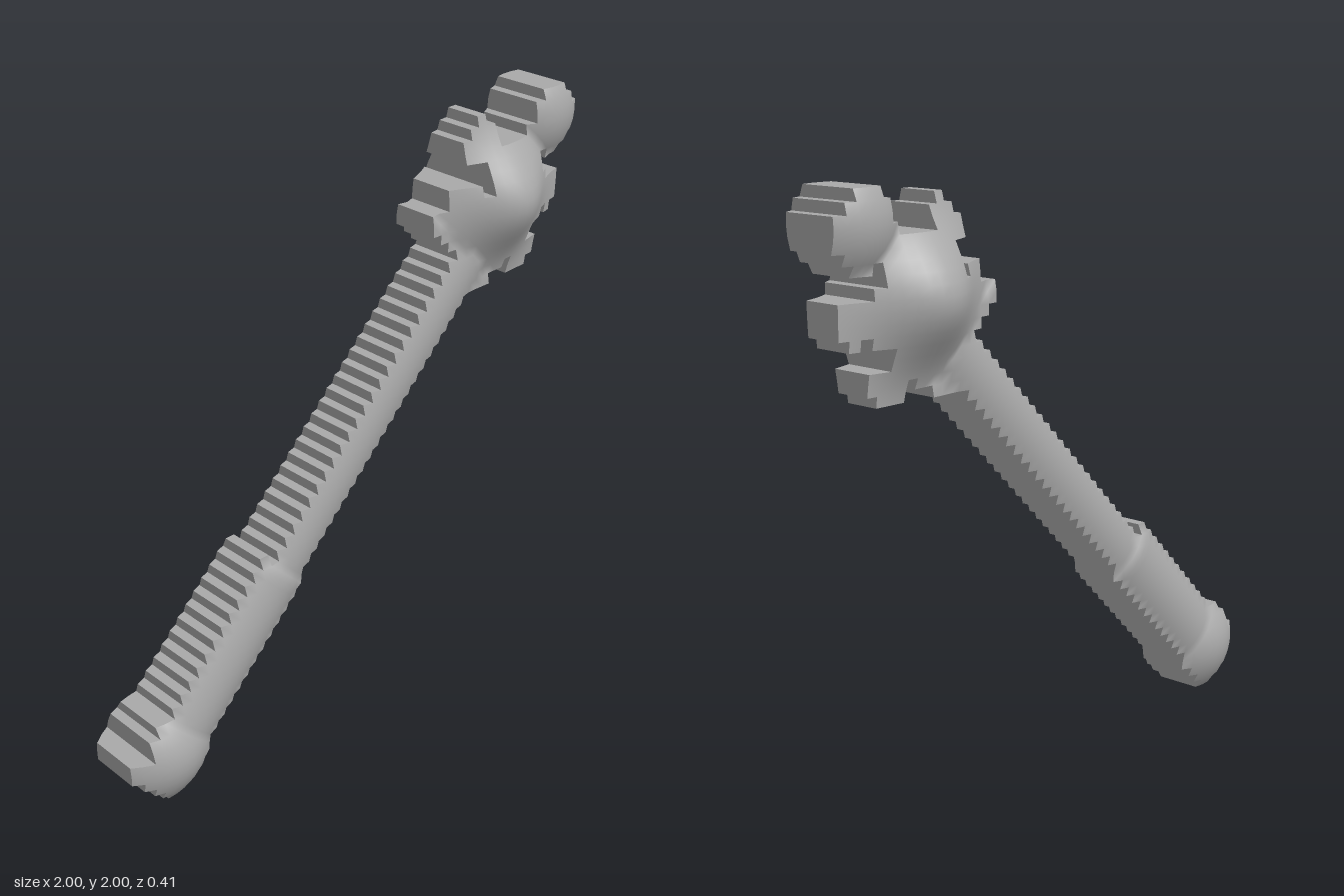
import * as THREE from 'three';

const N = 57, C = 2 / N; // cells per side and cell size

// stepped outlines: row -> [start, end) column pairs
const headRows = [
  [52, 55], [44, 45, 51, 56], [43, 46, 51, 57], [42, 46, 50, 57], [42, 57],
  [44, 56], [44, 52, 53, 55], [40, 43, 44, 52], [40, 53], [38, 56],
  [38, 56], [39, 56], [40, 53, 54, 55], [41, 51], [41, 51],
  [40, 53], [39, 48, 49, 53], [38, 46, 49, 52],
];
const pommelRows = [
  [3, 7], [2, 8], [2, 9], [0, 9], [0, 9], [1, 9], [2, 8], [3, 7], [4, 6],
];
const inRuns = (runs, i) => {
  for (let n = 0; runs && n < runs.length; n += 2) if (i >= runs[n] && i < runs[n + 1]) return true;
  return false;
};

// which part owns a cell
function partAt(i, r) {
  if (i < 0 || r < 0 || i >= N || r >= N) return null;
  if (inRuns(headRows[r], i)) return i >= 50 && r < 7 ? 'topKnob' : 'maceHead';
  if (inRuns(pommelRows[r - 48], i)) return 'pommel';
  const k = 56 - r - i, along = i - r;
  if (along < -46 || along > 30) return null;
  if (along <= -20 && Math.abs(k) <= 4) return 'grip';
  return k >= -3 && k <= 2 ? 'shaft' : null;
}

// half thickness at a point: rounded lobes blended by maximum
function halfDepth(x, y) {
  const off = y - x - 1, sum = x + y;
  const lobe = (cx, cy, top, drop, rad) => top - drop * (Math.hypot(x - cx, y - cy) / rad) ** 2;
  const bar = (top, drop, half, mid, a, b) => {
    const t = Math.min(1, Math.abs(off - mid) / half);
    const past = Math.max(0, a - sum, sum - b);
    return top - drop * t * t - past * 0.35;
  };
  const d = Math.hypot(x - 0.65, y - 1.67);
  return Math.max(
    0.05 + 0.155 * Math.exp(-((d / 0.2) ** 2)),
    lobe(0.88, 1.9, 0.13, 0.035, 0.12),
    lobe(-0.84, 0.165, 0.152, 0.065, 0.165),
    bar(0.106, 0.022, 0.13, -C / 2, -0.6, 2.0),
    bar(0.124, 0.036, 0.17, 0, -0.58, 0.27),
  );
}

const px = (i) => -1 + i * C, py = (r) => 2 - r * C;
const depth = (i, r) => halfDepth(px(i), py(r));

function makeGeometry(points, index) {
  const g = new THREE.BufferGeometry();
  g.setAttribute('position', new THREE.Float32BufferAttribute(points, 3));
  g.setIndex(index);
  g.computeVertexNormals();
  return g;
}

// domed face of one part; side is +1 for front, -1 for back.
// normals follow the depth rule, so neighbouring parts blend smoothly
function faceGeometry(part, side) {
  const pts = [], index = [], ids = new Map();
  const vertex = (i, r) => {
    const key = r * (N + 1) + i;
    if (!ids.has(key)) {
      ids.set(key, ids.size);
      pts.push(px(i), py(r), side * depth(i, r));
    }
    return ids.get(key);
  };
  for (let r = 0; r < N; r++) for (let i = 0; i < N; i++) {
    if (partAt(i, r) !== part) continue;
    const a = vertex(i, r), b = vertex(i, r + 1), c = vertex(i + 1, r + 1), d = vertex(i + 1, r);
    index.push(...(side > 0 ? [a, b, c, a, c, d] : [a, c, b, a, d, c]));
  }
  const g = makeGeometry(pts, index), p = g.attributes.position, e = 0.012;
  for (let v = 0; v < p.count; v++) {
    const x = p.getX(v), y = p.getY(v);
    const n = new THREE.Vector3(
      (halfDepth(x - e, y) - halfDepth(x + e, y)) / (2 * e),
      (halfDepth(x, y - e) - halfDepth(x, y + e)) / (2 * e), side).normalize();
    g.attributes.normal.setXYZ(v, n.x, n.y, n.z);
  }
  return g;
}

// flat stepped walls around one part
function wallGeometry(part) {
  const pts = [], index = [];
  const wall = (i0, r0, i1, r1) => {
    const n = pts.length / 3, h0 = depth(i0, r0), h1 = depth(i1, r1);
    pts.push(px(i0), py(r0), h0, px(i0), py(r0), -h0, px(i1), py(r1), -h1, px(i1), py(r1), h1);
    index.push(n, n + 1, n + 2, n, n + 2, n + 3);
  };
  for (let r = 0; r < N; r++) for (let i = 0; i < N; i++) {
    if (partAt(i, r) !== part) continue;
    if (!partAt(i, r - 1)) wall(i + 1, r, i, r);
    if (!partAt(i, r + 1)) wall(i, r + 1, i + 1, r + 1);
    if (!partAt(i - 1, r)) wall(i, r, i, r + 1);
    if (!partAt(i + 1, r)) wall(i + 1, r + 1, i + 1, r);
  }
  return makeGeometry(pts, index);
}

export function createModel() {
  const grey = new THREE.MeshStandardMaterial({ color: 0xaaaaaa, side: THREE.DoubleSide });
  grey.name = 'grey';
  const model = new THREE.Group();
  model.name = 'mace';
  for (const part of ['maceHead', 'topKnob', 'shaft', 'grip', 'pommel']) {
    const group = new THREE.Group();
    group.name = part;
    const add = (name, geometry) => {
      const mesh = new THREE.Mesh(geometry, grey);
      mesh.name = part + name;
      group.add(mesh);
    };
    add('Front', faceGeometry(part, 1));
    add('Back', faceGeometry(part, -1));
    add('Walls', wallGeometry(part));
    model.add(group);
  }
  return model;
}
